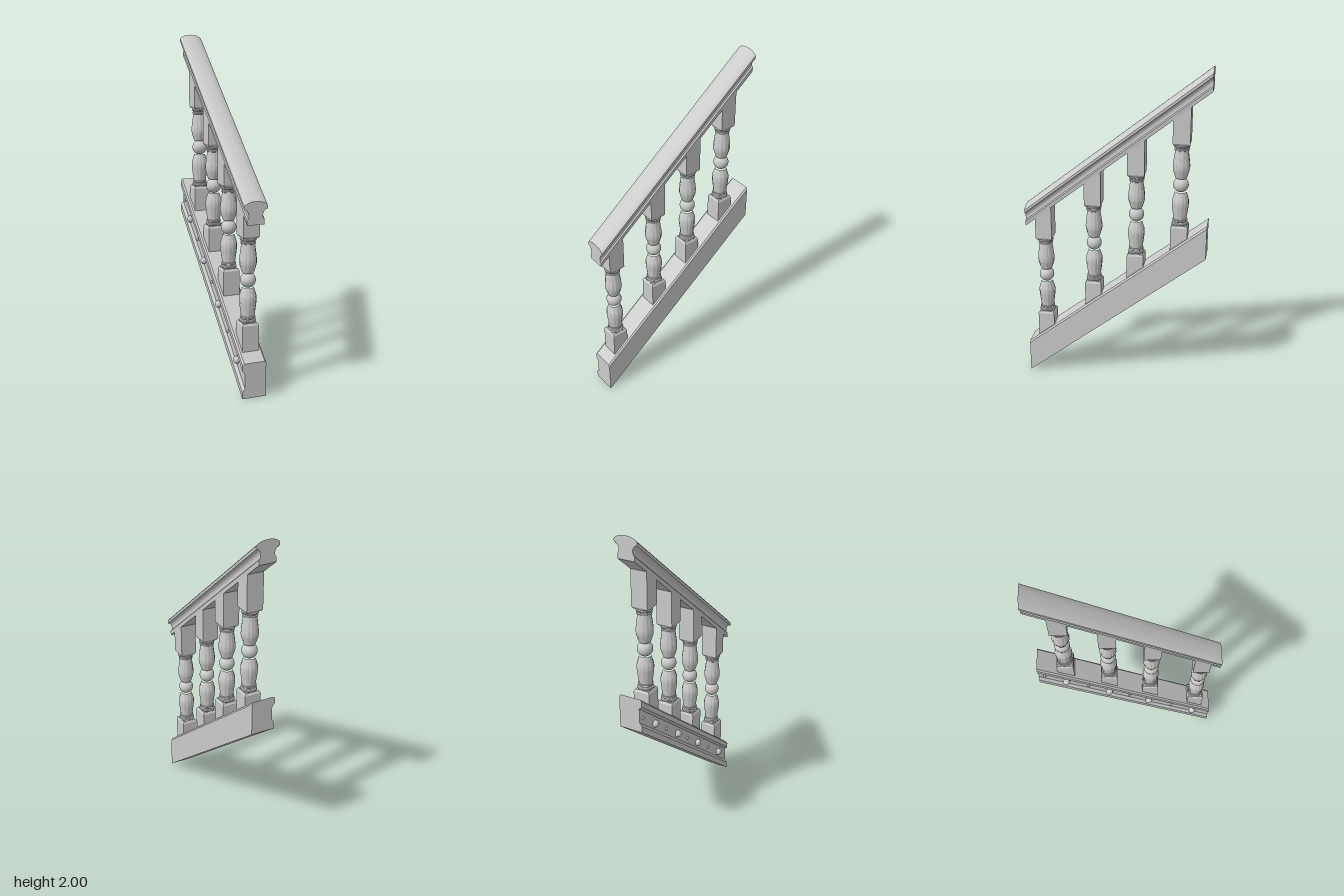
import * as THREE from 'three';
import { toCreasedNormals } from 'three/addons/utils/BufferGeometryUtils.js';

const LENGTH = 1.09;
const SLOPE = 0.798;
const HALF = LENGTH / 2;
const rise = (z) => (HALF - z) * SLOPE; // height gained from the front end

const grey = new THREE.MeshStandardMaterial({ color: 0xcccccc });

function add(parent, name, geometry, x = 0, y = 0, z = 0) {
  const mesh = new THREE.Mesh(geometry, grey);
  mesh.name = name;
  mesh.position.set(x, y, z);
  parent.add(mesh);
  return mesh;
}

// Extrudes a cross-section along z, then shears it up the stair slope; ends stay vertical
function slopedBar(shape) {
  const g = new THREE.ExtrudeGeometry(shape, { depth: LENGTH, bevelEnabled: false, curveSegments: 10 });
  g.translate(0, 0, -HALF);
  const p = g.attributes.position;
  for (let i = 0; i < p.count; i++) p.setY(i, p.getY(i) + rise(p.getZ(i)));
  return toCreasedNormals(g, 0.5);
}

// Square block whose top or bottom end follows the slope
function slantedBlock(y0, y1, z, slantTop) {
  const g = new THREE.BoxGeometry(0.1, y1 - y0, 0.1).toNonIndexed();
  g.translate(0, (y0 + y1) / 2, 0);
  const p = g.attributes.position;
  const mid = (y0 + y1) / 2;
  for (let i = 0; i < p.count; i++) {
    if ((p.getY(i) > mid) === slantTop) p.setY(i, p.getY(i) - p.getZ(i) * SLOPE);
  }
  g.translate(0, 0, z);
  g.computeVertexNormals();
  return g;
}

// Handrail: domed cap, coved sides and a foot
function handrailShape() {
  const s = new THREE.Shape();
  s.moveTo(-0.05, 0);
  s.lineTo(0.05, 0);
  s.lineTo(0.052, 0.028);
  s.lineTo(0.044, 0.036);
  s.quadraticCurveTo(0.036, 0.066, 0.056, 0.084);
  s.lineTo(0.069, 0.088);
  s.lineTo(0.069, 0.106);
  s.quadraticCurveTo(0.05, 0.13, 0, 0.131);
  s.quadraticCurveTo(-0.05, 0.13, -0.069, 0.106);
  s.lineTo(-0.069, 0.088);
  s.lineTo(-0.056, 0.084);
  s.quadraticCurveTo(-0.036, 0.066, -0.044, 0.036);
  s.lineTo(-0.052, 0.028);
  return s;
}

// Stringer: chamfered beam with a shallow recess along its studded side
function stringerShape() {
  return new THREE.Shape([
    [-0.07, 0], [0.074, 0], [0.074, 0.196], [0.065, 0.208], [-0.06, 0.208], [-0.07, 0.198],
    [-0.07, 0.165], [-0.054, 0.148], [-0.054, 0.06], [-0.07, 0.04],
  ].map(([x, y]) => new THREE.Vector2(x, y)));
}

// Fluted vase, its wide shoulder near y = 0.105
function vaseGeometry() {
  const profile = new THREE.SplineCurve([
    [0.033, 0.042], [0.039, 0.06], [0.048, 0.09], [0.05, 0.115], [0.046, 0.155], [0.038, 0.212],
  ].map(([r, y]) => new THREE.Vector2(r, y)));
  const g = new THREE.LatheGeometry(profile.getPoints(16), 60);
  const p = g.attributes.position;
  for (let i = 0; i < p.count; i++) {
    const y = p.getY(i);
    if (y < 0.065 || y > 0.195) continue;
    const angle = Math.atan2(p.getZ(i), p.getX(i));
    const k = 1 - 0.06 * Math.pow(0.5 + 0.5 * Math.cos(angle * 12), 3);
    p.setXYZ(i, p.getX(i) * k, y, p.getZ(i) * k);
  }
  return toCreasedNormals(g, 0.5);
}

// Stacked rings between vase and block
function ringsGeometry() {
  const pts = [
    [0.036, 0.208], [0.043, 0.212], [0.044, 0.219], [0.039, 0.223], [0.039, 0.227],
    [0.046, 0.231], [0.048, 0.238], [0.044, 0.243], [0.044, 0.25],
  ].map(([r, y]) => new THREE.Vector2(r, y));
  return toCreasedNormals(new THREE.LatheGeometry(pts, 32), 0.6);
}

export function createModel() {
  const model = new THREE.Group();
  model.name = 'stairRailing';

  add(model, 'handrail', slopedBar(handrailShape()), 0.003, 1.0, 0);
  add(model, 'stringer', slopedBar(stringerShape()));

  // Balusters: [z, height of the central bead]
  const vase = vaseGeometry();
  const rings = ringsGeometry();
  const bead = new THREE.SphereGeometry(0.045, 32, 20);
  const shoulder = new THREE.CylinderGeometry(0.05 * Math.SQRT2, 0.043 * Math.SQRT2, 0.012, 4)
    .rotateY(Math.PI / 4).toNonIndexed();
  shoulder.computeVertexNormals();
  for (const [z, beadY] of [[0.437, 0.663], [0.135, 0.9], [-0.122, 1.103], [-0.38, 1.305]]) {
    const baluster = new THREE.Group();
    baluster.name = 'baluster';
    model.add(baluster);
    add(baluster, 'bead', bead, 0.003, beadY, z);
    for (const up of [true, false]) {
      const half = new THREE.Group();
      half.name = up ? 'upperTurning' : 'lowerTurning';
      half.position.set(0.003, beadY, z);
      if (!up) half.rotation.x = Math.PI;
      baluster.add(half);
      add(half, 'vase', vase);
      add(half, 'rings', rings);
      add(half, 'blockShoulder', shoulder, 0, 0.252, 0);
    }
    add(baluster, 'upperBlock', slantedBlock(beadY + 0.258, 1.005 + rise(z), z, true), 0.003);
    add(baluster, 'lowerBlock', slantedBlock(0.2 + rise(z), beadY - 0.258, z, false), 0.003);
  }

  // Round studs in the recess, with small ones between
  const stud = new THREE.SphereGeometry(0.022, 24, 16);
  const smallStud = new THREE.SphereGeometry(0.009, 16, 12);
  for (const z of [0.43, 0.13, -0.125, -0.385]) add(model, 'stud', stud, -0.059, 0.1 + rise(z), z);
  for (const z of [0.28, 0.003, -0.255, -0.51]) add(model, 'smallStud', smallStud, -0.055, 0.1 + rise(z), z);

  return model;
}
